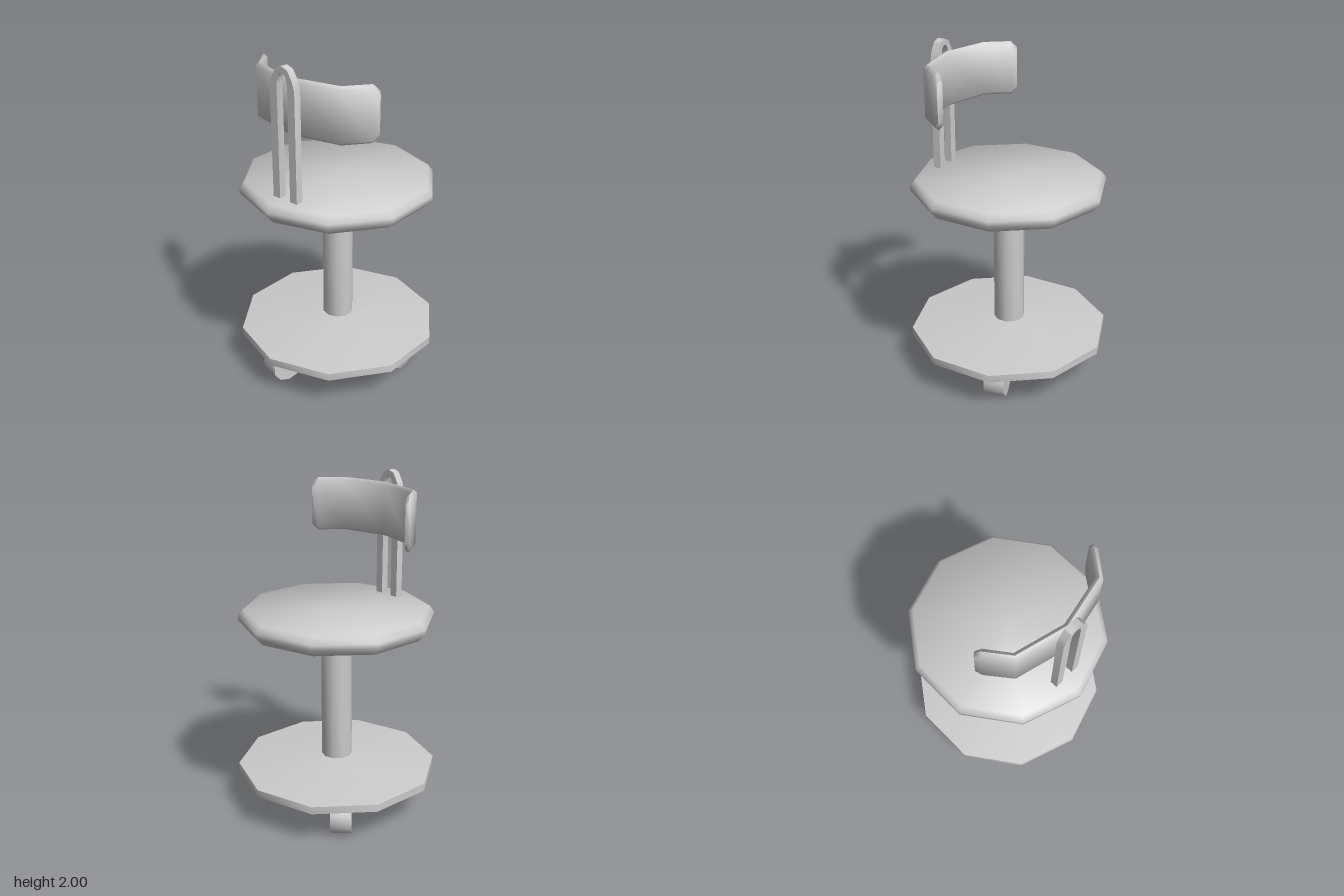
import * as THREE from 'three';
import { toCreasedNormals } from 'three/addons/utils/BufferGeometryUtils.js';

const SIDES = 10;
const solid = new THREE.MeshStandardMaterial({ color: 0xcccccc });
const shell = new THREE.MeshStandardMaterial({ color: 0xcccccc, side: THREE.DoubleSide });

function part(name, geometry, crease = 0.9, material = solid) {
  const mesh = new THREE.Mesh(toCreasedNormals(geometry, crease), material);
  mesh.name = name;
  return mesh;
}

// Ten-sided turned form with corners on the x axis; profile runs bottom to top
function turned(profile) {
  const points = profile.map(([r, y]) => new THREE.Vector2(r, y));
  return new THREE.LatheGeometry(points, SIDES, Math.PI / 2 - 0.017);
}

// Curved pad: a bevelled cross-section carried along a path in plan
function backrestGeometry() {
  const path = [[-0.163, -0.398], [-0.322, -0.28], [-0.398, 0.01], [-0.337, 0.305], [-0.18, 0.43]]
    .map(([x, z]) => new THREE.Vector2(x, z));
  // Extra sections near both ends let the corners be clipped
  path.splice(1, 0, path[0].clone().lerp(path[1], 0.18));
  path.splice(5, 0, path[5].clone().lerp(path[4], 0.18));
  const last = path.length - 1;
  const midY = 1.77, t = 0.021, bevel = 0.018, n = 6;
  const positions = [], index = [];
  path.forEach((p, i) => {
    const along = path[Math.min(i + 1, last)].clone().sub(path[Math.max(i - 1, 0)]).normalize();
    const end = i === 0 || i === last;
    const h = end ? 0.125 : 0.16;
    const w = end ? t * 0.75 : t;
    const section = [[w, bevel - h], [w, h - bevel], [0, h], [-w, h - bevel], [-w, bevel - h], [0, -h]];
    for (const [o, y] of section) positions.push(p.x - along.y * o, midY + y, p.y + along.x * o);
  });
  for (let i = 0; i < last; i++) {
    for (let j = 0; j < n; j++) {
      const a = i * n + j, b = i * n + (j + 1) % n;
      index.push(a, a + n, b, b, a + n, b + n);
    }
  }
  for (let j = 1; j < n - 1; j++) {
    index.push(0, j, j + 1, last * n, last * n + j + 1, last * n + j);
  }
  const geometry = new THREE.BufferGeometry();
  geometry.setAttribute('position', new THREE.Float32BufferAttribute(positions, 3));
  geometry.setIndex(index);
  return geometry;
}

// Upside-down U of flat bar; its feet just pass through the seat top
function supportGeometry() {
  const foot = 1.22;
  const outer = [[0.086, foot], [0.086, 1.88], [0.07, 1.935], [0.04, 1.985]];
  const inner = [[0.037, foot], [0.037, 1.9], [0.027, 1.945], [0.012, 1.963]];
  const flip = ([x, y]) => [-x, y];
  const outline = [
    ...outer, [0, 2], ...outer.map(flip).reverse(),
    ...inner.map(flip), ...inner.slice().reverse(),
  ];
  const shape = new THREE.Shape(outline.map(([x, y]) => new THREE.Vector2(x, y)));
  const geometry = new THREE.ExtrudeGeometry(shape, { depth: 0.045, bevelEnabled: false });
  return geometry.rotateY(-Math.PI / 2).translate(-0.41, 0, 0.008);
}

export function createModel() {
  const chair = new THREE.Group();
  chair.name = 'swivelChair';

  // Base: a shallow cone with a short rim, open underneath
  chair.add(part('base', turned([[0.602, 0.215], [0.602, 0.26], [0.09, 0.312], [0, 0.312]]), 0.9, shell));

  // Central column
  chair.add(part('column', turned([[0, 0.307], [0.092, 0.307], [0.092, 1.107], [0, 1.107]])));

  // Seat: a rounded pan, open underneath
  chair.add(part('seat', turned([
    [0.535, 1.135], [0.575, 1.18], [0.575, 1.208], [0.545, 1.245], [0, 1.245],
  ]), 1.2, shell));

  // Back support and backrest
  chair.add(part('backSupport', supportGeometry(), 0.5));
  chair.add(part('backrest', backrestGeometry(), 1.1));

  // Three casters on a ring, turned slightly off its tangent
  for (let i = 0; i < 3; i++) {
    const angle = THREE.MathUtils.degToRad(70.5 + i * 120);
    const geometry = new THREE.CylinderGeometry(0.107, 0.107, 0.12, SIDES).rotateX(Math.PI / 2);
    const caster = part('caster' + (i + 1), geometry);
    caster.rotation.y = -angle - 0.07;
    caster.position.set(Math.cos(angle) * 0.403 - 0.015, 0.108, Math.sin(angle) * 0.403 - 0.013);
    chair.add(caster);
  }

  return chair;
}
